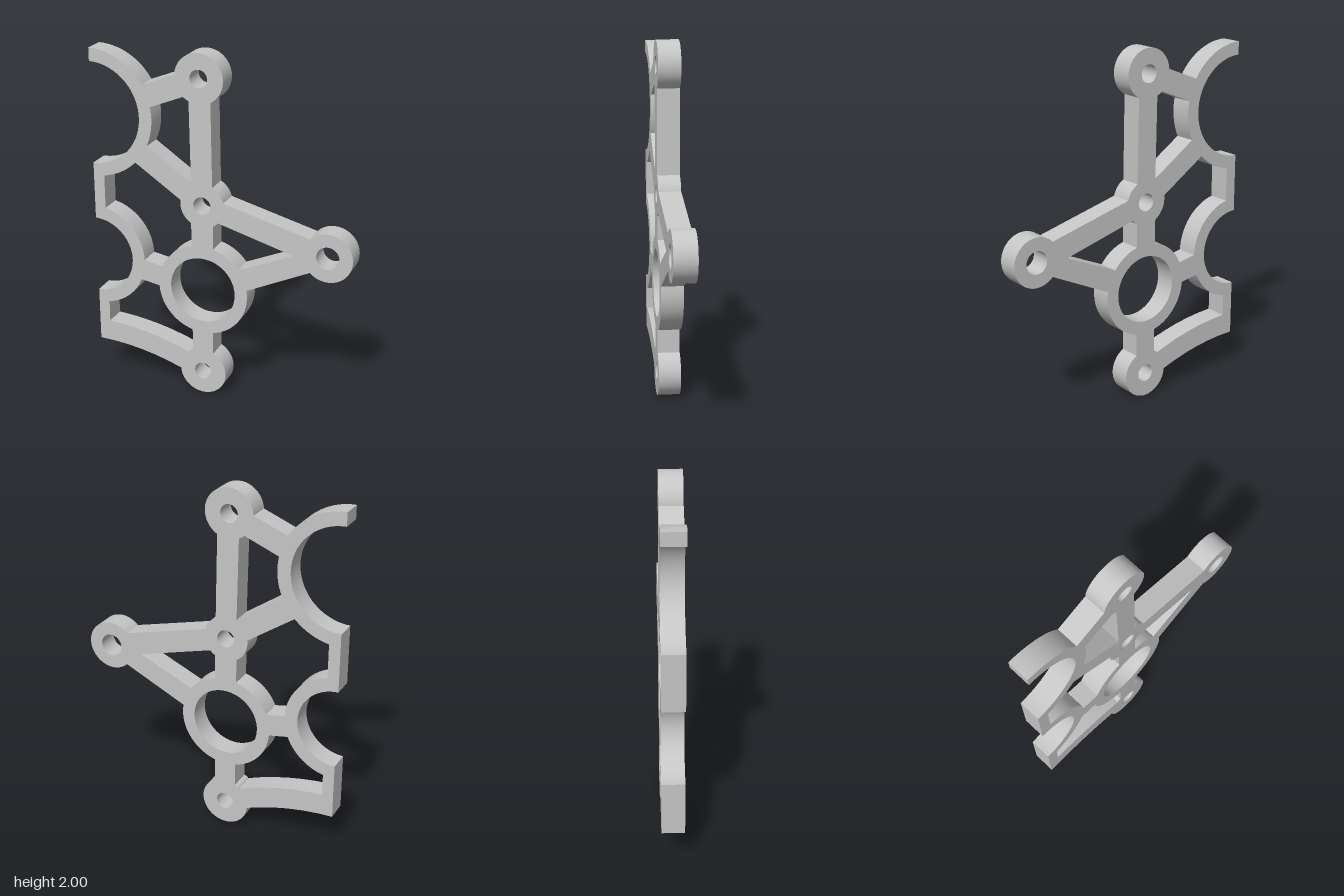
import * as THREE from 'three';
import { toCreasedNormals } from 'three/addons/utils/BufferGeometryUtils.js';

const THICKNESS = 0.125;
const EDGE = -0.755; // straight left edge of the plate

// Circles that the outline follows: [x, y, radius]
const topBoss = [-0.118, 1.862, 0.138];
const midBoss = [-0.103, 1.156, 0.128];
const sideBoss = [0.615, 0.966, 0.138];
const ring = [-0.103, 0.651, 0.265];
const bottomBoss = [-0.103, 0.138, 0.138];
const upperCupOuter = [EDGE, 1.606, 0.362];
const upperCupInner = [EDGE, 1.606, 0.288];
const lowerCupOuter = [EDGE, 0.764, 0.299];
const lowerCupInner = [EDGE, 0.764, 0.2235];
const railTop = [EDGE, -1.227, 1.575];
const railBottom = [EDGE, -1.227, 1.45];

// Points along a circle between the directions of two given points
function arc([cx, cy, r], from, to, clockwise = false) {
  const a = Math.atan2(from[1] - cy, from[0] - cx);
  let sweep = Math.atan2(to[1] - cy, to[0] - cx) - a;
  if (clockwise && sweep > 0) sweep -= Math.PI * 2;
  if (!clockwise && sweep < 0) sweep += Math.PI * 2;
  const n = Math.max(6, Math.ceil(Math.abs(sweep) / 0.08));
  return Array.from({ length: n + 1 }, (_, i) => {
    const t = a + (sweep * i) / n;
    return [cx + r * Math.cos(t), cy + r * Math.sin(t)];
  });
}

const toVectors = (points) => points.map(([x, y]) => new THREE.Vector2(x, y));

function createPlateShape() {
  // Outer contour, clockwise from the top left tip
  const shape = new THREE.Shape(toVectors([
    ...arc(upperCupOuter, [EDGE, 1.968], [-0.445, 1.797], true),
    ...arc(topBoss, [-0.256, 1.872], [-0.05, 1.74], true),
    ...arc(midBoss, [-0.042, 1.27], [0.019, 1.188], true),
    ...arc(sideBoss, [0.513, 1.062], [0.508, 0.856], true),
    ...arc(ring, [0.161, 0.695], [-0.04, 0.392], true),
    ...arc(bottomBoss, [-0.04, 0.262], [-0.239, 0.132], true),
    ...arc(railBottom, [-0.239, 0.132], [EDGE, 0.223]),
    ...arc(lowerCupInner, [EDGE, 0.54], [EDGE, 0.988]),
    ...arc(upperCupInner, [EDGE, 1.318], [EDGE, 1.894]),
  ]));

  // Openings between the arms, each listed clockwise
  const windows = [
    // Upper triangle
    [
      ...arc(topBoss, [-0.207, 1.756], [-0.175, 1.737]),
      [-0.166, 1.28],
      ...arc(upperCupOuter, [-0.425, 1.455], [-0.399, 1.678]),
    ],
    // Large opening on the left
    [
      ...arc(midBoss, [-0.227, 1.173], [-0.166, 1.049]),
      ...arc(ring, [-0.166, 0.907], [-0.346, 0.755]),
      ...arc(lowerCupOuter, [-0.457, 0.775], [-0.691, 1.056]),
      ...arc(upperCupOuter, [-0.691, 1.25], [-0.495, 1.35]),
    ],
    // Right triangle
    [
      [0.424, 0.95],
      ...arc(ring, [0.109, 0.81], [-0.04, 0.907]),
      ...arc(midBoss, [-0.04, 1.045], [-0.006, 1.066]),
    ],
    // Opening above the curved bottom rail
    [
      ...arc(ring, [-0.368, 0.633], [-0.166, 0.392]),
      ...arc(bottomBoss, [-0.166, 0.262], [-0.188, 0.246]),
      ...arc(railTop, [-0.188, 0.243], [-0.691, 0.347]),
      ...arc(lowerCupOuter, [-0.691, 0.474], [-0.476, 0.651]),
    ],
  ];
  // Holes run counterclockwise, against the contour, so their walls face inwards
  for (const points of windows) shape.holes.push(new THREE.Path(toVectors(points.reverse())));

  // Round bores in the bosses and the ring
  const bores = [[topBoss, 0.05], [midBoss, 0.05], [sideBoss, 0.064], [ring, 0.192], [bottomBoss, 0.05]];
  for (const [[x, y], r] of bores) {
    const points = Array.from({ length: 64 }, (_, i) => {
      const t = (i / 64) * Math.PI * 2;
      return [x + r * Math.cos(t), y + r * Math.sin(t)];
    });
    shape.holes.push(new THREE.Path(toVectors(points)));
  }
  return shape;
}

export function createModel() {
  const grey = new THREE.MeshStandardMaterial({ color: 0xc6c6c6 });
  grey.name = 'lightGrey';

  const extruded = new THREE.ExtrudeGeometry(createPlateShape(), { depth: THICKNESS, bevelEnabled: false });
  extruded.translate(0, 0, -THICKNESS / 2);

  // Smooth round walls, sharp rims and corners
  const plate = new THREE.Mesh(toCreasedNormals(extruded, 0.3), grey);
  plate.name = 'bracketPlate';

  const group = new THREE.Group();
  group.name = 'bracket';
  group.add(plate);
  return group;
}
